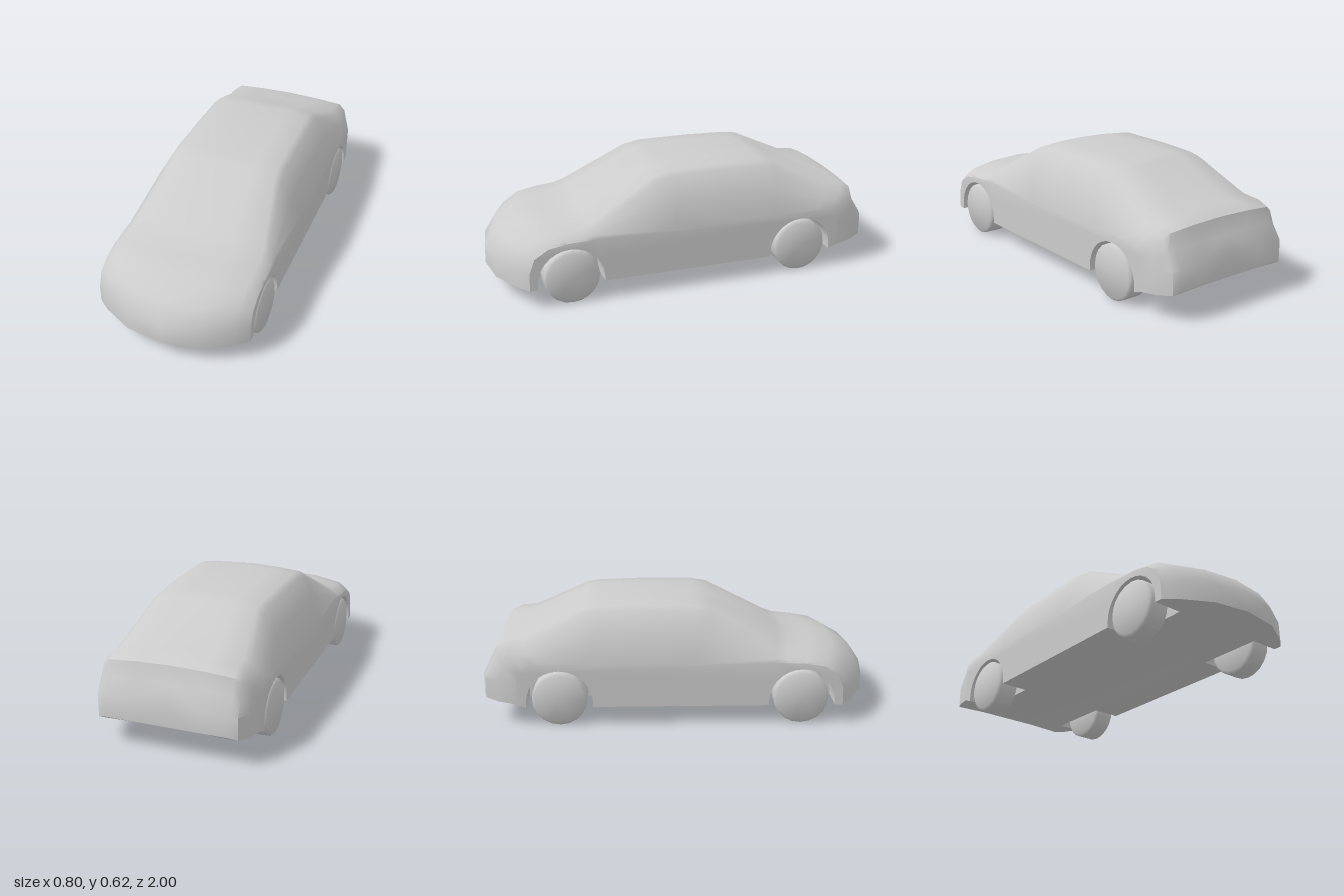
import * as THREE from 'three';
import { toCreasedNormals } from 'three/addons/utils/BufferGeometryUtils.js';

const HALF = 0.4, SILL = 0.1, WELL_X = 0.25, ARCH_R = 0.17, ARCH_Y = 0.125;
const ARCHES = [0.63, -0.61];

// Body stations from front bumper over the roof to the rear bumper:
// z, centre height, rail half-width, rail height, belt height, corner sweep
const ROWS = [
  [1.0, 0.1, 0.34, 0.1, 0.1, 0.16],
  [0.998, 0.2, 0.34, 0.195, 0.19, 0.16],
  [0.93, 0.3, 0.34, 0.287, 0.265, 0.12],
  [0.82, 0.362, 0.345, 0.342, 0.308, 0.08],
  [0.7, 0.385, 0.35, 0.36, 0.325, 0.05],
  [0.58, 0.395, 0.345, 0.372, 0.33, 0.03],
  [0.52, 0.415, 0.34, 0.392, 0.33, 0.025],
  [0.17, 0.595, 0.275, 0.58, 0.33, 0.01],
  [0.08, 0.61, 0.27, 0.597, 0.33, 0],
  [-0.2, 0.615, 0.265, 0.6, 0.33, 0],
  [-0.42, 0.61, 0.26, 0.595, 0.33, 0],
  [-0.49, 0.6, 0.257, 0.585, 0.33, 0.02],
  [-0.78, 0.463, 0.3, 0.447, 0.335, 0.08],
  [-0.87, 0.452, 0.31, 0.435, 0.33, 0.12],
  [-0.925, 0.425, 0.315, 0.41, 0.315, 0.145],
  [-0.95, 0.34, 0.31, 0.335, 0.285, 0.135],
  [-1.0, 0.26, 0.31, 0.257, 0.24, 0.17],
  [-1.0, 0.15, 0.31, 0.15, 0.118, 0.17],
];

// Half cross-section of a station, from the centre line to the belt line
function section([z, y, rx, ry, by, sweep]) {
  const h = ry - by;
  const k = 1 - Math.min(1, h / 0.27);
  const t3 = 0.1 + 0.34 * k, t4 = 0.5 + 0.28 * k;
  const mix = THREE.MathUtils.lerp;
  const pts = [
    [0, y],
    [rx * 0.55, mix(y, ry, 0.32)],
    [rx, ry],
    [mix(rx, HALF, t3) + 0.065 * h, mix(ry, by, t3) + 0.025 * h],
    [mix(rx, HALF, t4) + 0.1 * h, mix(ry, by, t4) + 0.02 * h],
    [HALF, by],
  ];
  return pts.map(([px, py]) => {
    const pz = z > 0
      ? z - sweep * Math.pow(px / HALF, 2.3)
      : z + sweep * Math.pow(Math.max(0, (px - 0.31) / 0.09), 3);
    return new THREE.Vector3(px, py, pz);
  });
}

// Collects triangles, turning each to face along a hint direction
function surface() {
  const data = [];
  const tri = (a, b, c, hint) => {
    const n = b.clone().sub(a).cross(c.clone().sub(a));
    const order = n.dot(hint) < 0 ? [a, c, b] : [a, b, c];
    order.forEach((p) => data.push(p.x, p.y, p.z));
  };
  const quad = (a, b, c, d, hint) => { tri(a, b, c, hint); tri(a, c, d, hint); };
  const polygon = (pts, u, v, hint) => {
    const flat = pts.map((p) => new THREE.Vector2(p[u], p[v]));
    THREE.ShapeUtils.triangulateShape(flat, [])
      .forEach(([i, j, k]) => tri(pts[i], pts[j], pts[k], hint));
  };
  const build = () => {
    const g = new THREE.BufferGeometry();
    g.setAttribute('position', new THREE.Float32BufferAttribute(data, 3));
    return toCreasedNormals(g, 0.75);
  };
  return { tri, quad, polygon, build };
}

// Wheel opening outline from its front foot to its rear foot
function archLine(cz, x) {
  const pts = [new THREE.Vector3(x, SILL, cz + ARCH_R)];
  for (let i = 0; i <= 14; i++) {
    const a = (i / 14) * Math.PI;
    pts.push(new THREE.Vector3(x, ARCH_Y + ARCH_R * Math.sin(a), cz + ARCH_R * Math.cos(a)));
  }
  pts.push(new THREE.Vector3(x, SILL, cz - ARCH_R));
  return pts;
}

function bodyGeometry() {
  const s = surface();
  const flip = (side) => (p) => new THREE.Vector3(p.x * side, p.y, p.z);
  const half = ROWS.map(section);
  const front = half[0], rear = half[half.length - 1];

  for (const side of [1, -1]) {
    const m = flip(side);

    // Upper skin: bumpers, bonnet, glasshouse, roof and boot
    const rows = half.map((r) => r.map(m));
    for (let i = 0; i < rows.length - 1; i++) {
      for (let j = 0; j < 5; j++) {
        const a = rows[i][j], b = rows[i][j + 1], c = rows[i + 1][j + 1], d = rows[i + 1][j];
        const hint = a.clone().add(c).multiplyScalar(0.5);
        hint.set(hint.x, hint.y - 0.2, hint.z * 0.3);
        s.quad(a, b, c, d, hint);
      }
    }

    // Flat side with both wheel openings
    const sill = [...ARCHES].reverse().flatMap((cz) => archLine(cz, HALF).reverse());
    const belt = half.map((r) => r[5]);
    s.polygon([...belt, ...sill].map(m), 'z', 'y', new THREE.Vector3(side, 0, 0));

    // Wheel wells: curved liner and inner wall
    for (const cz of ARCHES) {
      const outer = archLine(cz, HALF).map(m), inner = archLine(cz, WELL_X).map(m);
      const centre = new THREE.Vector3(HALF * side, SILL, cz);
      for (let i = 0; i < outer.length - 1; i++) {
        const hint = centre.clone().sub(outer[i].clone().add(outer[i + 1]).multiplyScalar(0.5));
        hint.x = 0;
        s.quad(outer[i], outer[i + 1], inner[i + 1], inner[i], hint);
      }
      s.polygon(inner, 'z', 'y', new THREE.Vector3(side, 0, 0));
    }

    // Half of the floor, notched for the wells
    const notches = ARCHES.flatMap((cz) => [
      [HALF, cz + ARCH_R], [WELL_X, cz + ARCH_R], [WELL_X, cz - ARCH_R], [HALF, cz - ARCH_R],
    ]).map(([x, z]) => new THREE.Vector3(x, SILL, z));
    const keel = new THREE.Vector3(0, SILL, -0.78);
    s.polygon([...front, ...notches, ...[...rear].reverse(), keel].map(m), 'x', 'z',
      new THREE.Vector3(0, -1, 0));
  }
  return s.build();
}

function wheelGeometry() {
  const profile = [[0, -0.06], [0.128, -0.06], [0.141, -0.049], [0.141, 0.049], [0.128, 0.06], [0, 0.06]]
    .map(([r, h]) => new THREE.Vector2(r, h));
  const g = new THREE.LatheGeometry(profile, 20);
  g.rotateZ(Math.PI / 2);
  return toCreasedNormals(g, 0.9);
}

export function createModel() {
  const car = new THREE.Group();
  car.name = 'car';
  const material = new THREE.MeshStandardMaterial({ color: 0xcccccc });

  const body = new THREE.Mesh(bodyGeometry(), material);
  body.name = 'body';
  car.add(body);

  const wheel = wheelGeometry();
  [['front', 0.625], ['rear', -0.61]].forEach(([end, z]) => {
    [['Left', 1], ['Right', -1]].forEach(([label, side]) => {
      const mesh = new THREE.Mesh(wheel, material);
      mesh.name = `${end}${label}Wheel`;
      mesh.position.set(0.341 * side, 0.141, z);
      car.add(mesh);
    });
  });
  return car;
}
